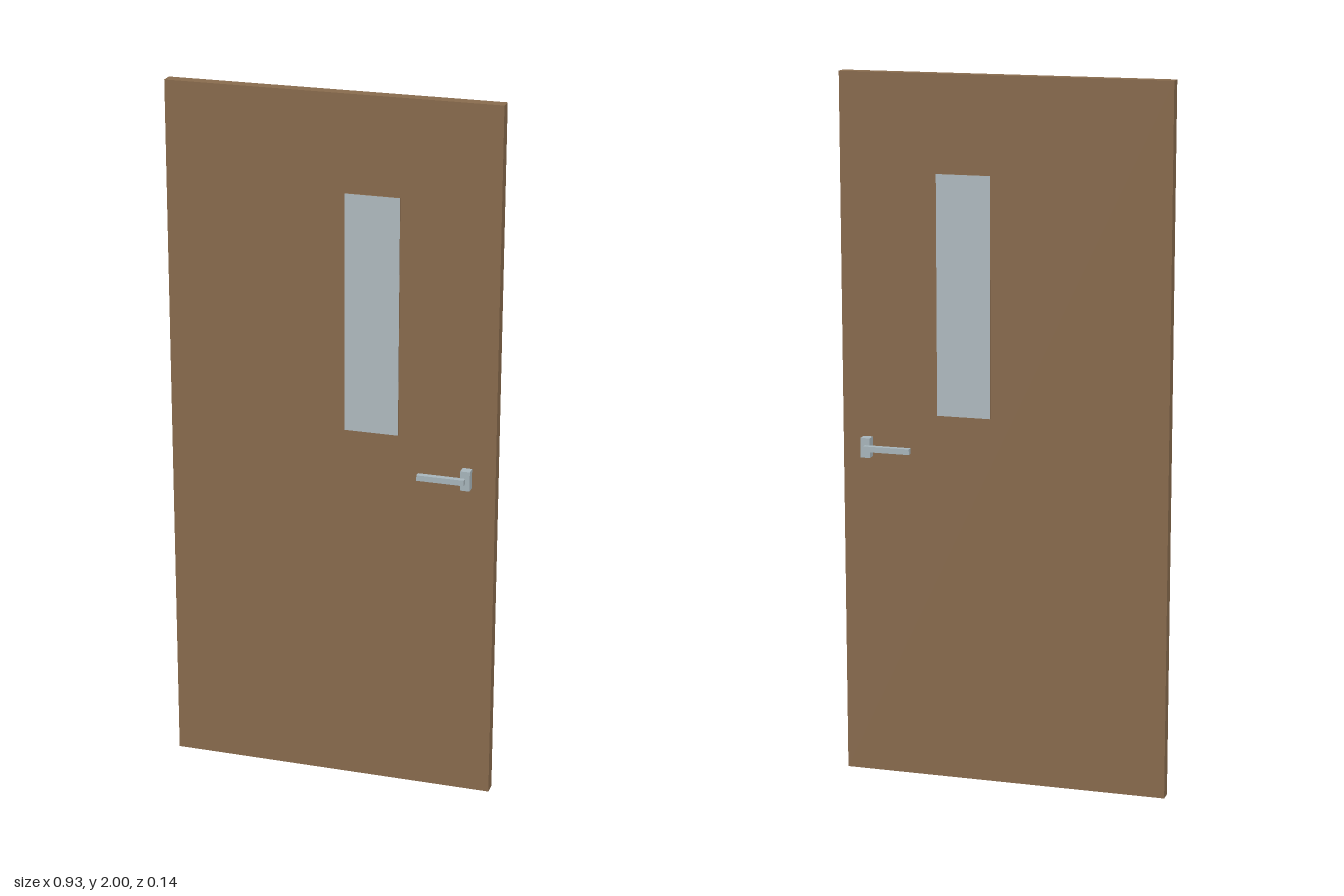
import * as THREE from 'three';

export function createModel() {
  const mat = (name, color) => {
    const m = new THREE.MeshStandardMaterial({ color });
    m.name = name;
    return m;
  };
  const wood = mat('wood', 0x8a6c4e);
  const glass = mat('glass', 0xb2bdc2);
  const steel = mat('steel', 0xaab8be);

  // Box given by its minimum and maximum corners
  const box = (name, material, [x0, y0, z0], [x1, y1, z1]) => {
    const mesh = new THREE.Mesh(new THREE.BoxGeometry(x1 - x0, y1 - y0, z1 - z0), material);
    mesh.position.set((x0 + x1) / 2, (y0 + y1) / 2, (z0 + z1) / 2);
    mesh.name = name;
    return mesh;
  };

  const door = new THREE.Group();
  door.name = 'door';
  door.add(box('doorLeaf', wood, [-0.467, 0, -0.0175], [0.467, 2, 0.0175]));

  // Window panel: wooden edges, glass on the front and back faces
  door.add(box('window', [wood, wood, wood, wood, glass, glass],
    [0.038, 1.056, -0.0208], [0.191, 1.729, 0.0208]));

  // A lever handle on each side, standing slightly off the leaf
  for (const [side, s] of [['front', 1], ['back', -1]]) {
    const handle = new THREE.Group();
    handle.name = side + 'Handle';
    const part = (name, x0, x1, y0, y1, near, far) =>
      handle.add(box(name, steel,
        [x0, y0, Math.min(s * near, s * far)], [x1, y1, Math.max(s * near, s * far)]));
    part('handleBlock', 0.377, 0.404, 0.931, 0.987, 0.0293, 0.0563);
    part('handleLever', 0.258, 0.391, 0.951, 0.967, 0.0545, 0.071);
    door.add(handle);
  }
  return door;
}
